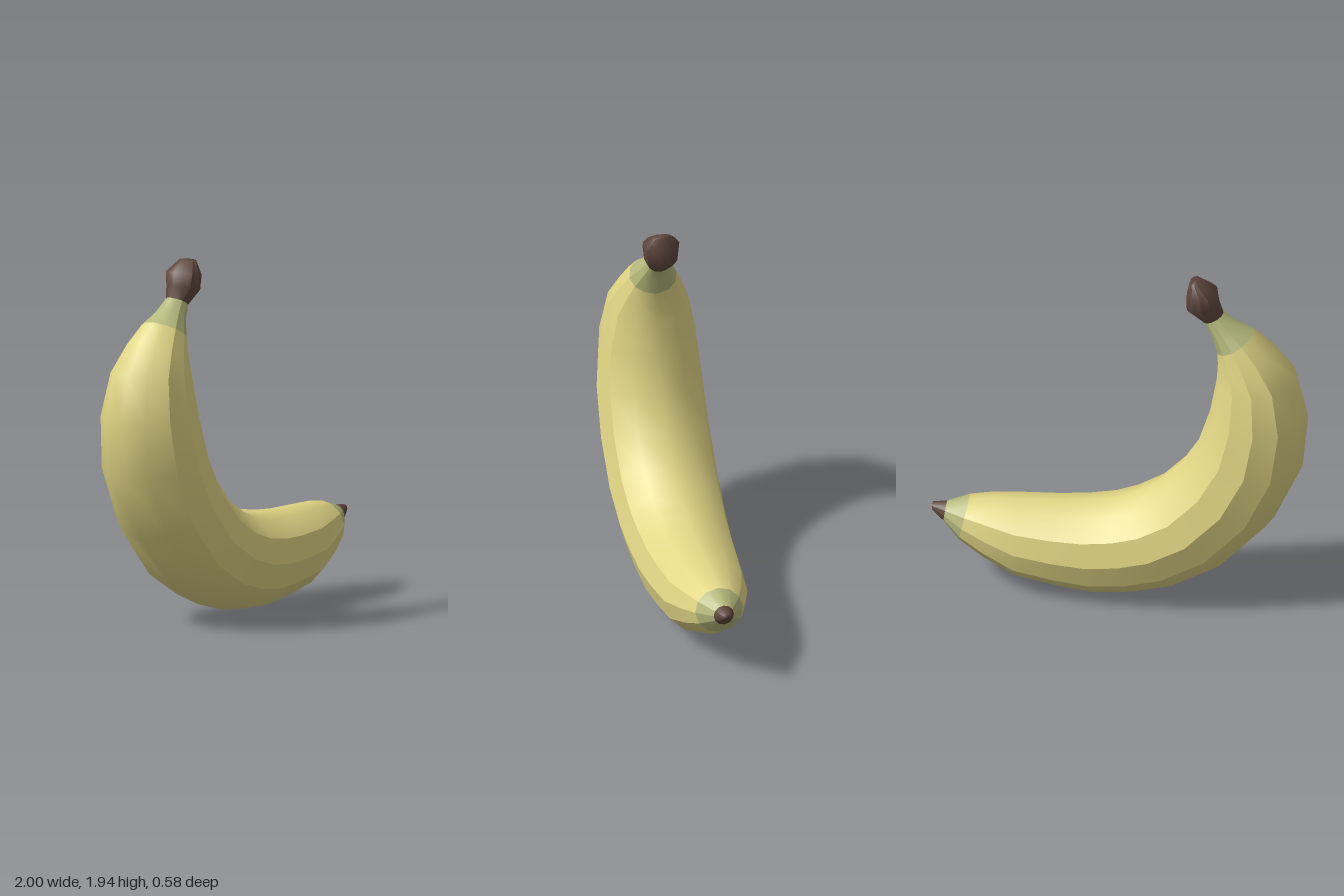
import * as THREE from 'three';
import { mergeGeometries } from 'three/addons/utils/BufferGeometryUtils.js';

const SIDES = 12;

// Cross-sections from the blossom tip to the stem:
// outer edge x, y, inner edge x, y, half width in z
const SECTIONS = [
  [1.0, 0.425, 1.0, 0.425, 0],
  [0.995, 0.4, 0.995, 0.445, 0.025],
  [0.935, 0.345, 0.92, 0.452, 0.055],
  [0.85, 0.25, 0.8, 0.49, 0.13],
  [0.72, 0.16, 0.68, 0.505, 0.178],
  [0.55, 0.07, 0.53, 0.508, 0.225],
  [0.33, 0.03, 0.34, 0.512, 0.25],
  [0.13, 0.007, 0.19, 0.525, 0.265],
  [-0.09, 0.03, 0.05, 0.55, 0.275],
  [-0.31, 0.09, -0.06, 0.59, 0.285],
  [-0.57, 0.24, -0.19, 0.665, 0.292],
  [-0.82, 0.51, -0.32, 0.8, 0.292],
  [-0.97, 0.84, -0.42, 0.96, 0.285],
  [-1.0, 1.15, -0.48, 1.15, 0.262],
  [-0.94, 1.39, -0.515, 1.35, 0.218],
  [-0.82, 1.55, -0.52, 1.44, 0.17],
  [-0.71, 1.65, -0.515, 1.53, 0.128],
  [-0.62, 1.7, -0.485, 1.63, 0.085],
  [-0.55, 1.76, -0.445, 1.705, 0.062],
  [-0.53, 1.82, -0.353, 1.78, 0.09],
  [-0.52, 1.89, -0.355, 1.865, 0.1],
  [-0.43, 1.945, -0.372, 1.943, 0.05],
  [-0.4, 1.945, -0.4, 1.945, 0],
];

// Smooth strip of skin between two sections and two steps around the ring
function strip(first, last, j0, j1) {
  const positions = [], index = [], cols = j1 - j0 + 1;
  for (let i = first; i <= last; i++) {
    const [ox, oy, ix, iy, w] = SECTIONS[i];
    for (let j = j0; j <= j1; j++) {
      const a = (j / SIDES) * Math.PI * 2;
      const t = (1 + Math.cos(a)) / 2;
      positions.push(ix + (ox - ix) * t, iy + (oy - iy) * t, Math.sin(a) * w);
    }
  }
  for (let i = 0; i < last - first; i++) {
    for (let j = 0; j < cols - 1; j++) {
      const a = i * cols + j, b = a + 1, c = a + cols, d = c + 1;
      index.push(a, b, c, b, d, c);
    }
  }
  const geometry = new THREE.BufferGeometry();
  geometry.setAttribute('position', new THREE.Float32BufferAttribute(positions, 3));
  geometry.setIndex(index);
  geometry.computeVertexNormals();
  return geometry;
}

// Strips meet at hard ridges: rounded back, narrow side facets, rounded inside
const RIDGES = [-2, 2, 3, 4, 8, 9, 10];

function skin(first, last) {
  return mergeGeometries(RIDGES.slice(0, -1).map((r, k) => strip(first, last, r, RIDGES[k + 1])));
}

export function createModel() {
  const material = (name, color) => {
    const m = new THREE.MeshStandardMaterial({ color });
    m.name = name;
    return m;
  };
  const yellow = material('ripe yellow', 0xe0d585);
  const green = material('pale green', 0xb5b97c);
  const brown = material('stem brown', 0x5f483e);

  const banana = new THREE.Group();
  banana.name = 'banana';
  const add = (name, first, last, mat) => {
    const mesh = new THREE.Mesh(skin(first, last), mat);
    mesh.name = name;
    banana.add(mesh);
  };
  add('blossomTip', 0, 2, brown);
  add('greenTip', 2, 3, green);
  add('body', 3, 16, yellow);
  add('greenNeck', 16, 18, green);
  add('stemEnd', 18, 22, brown);
  return banana;
}
